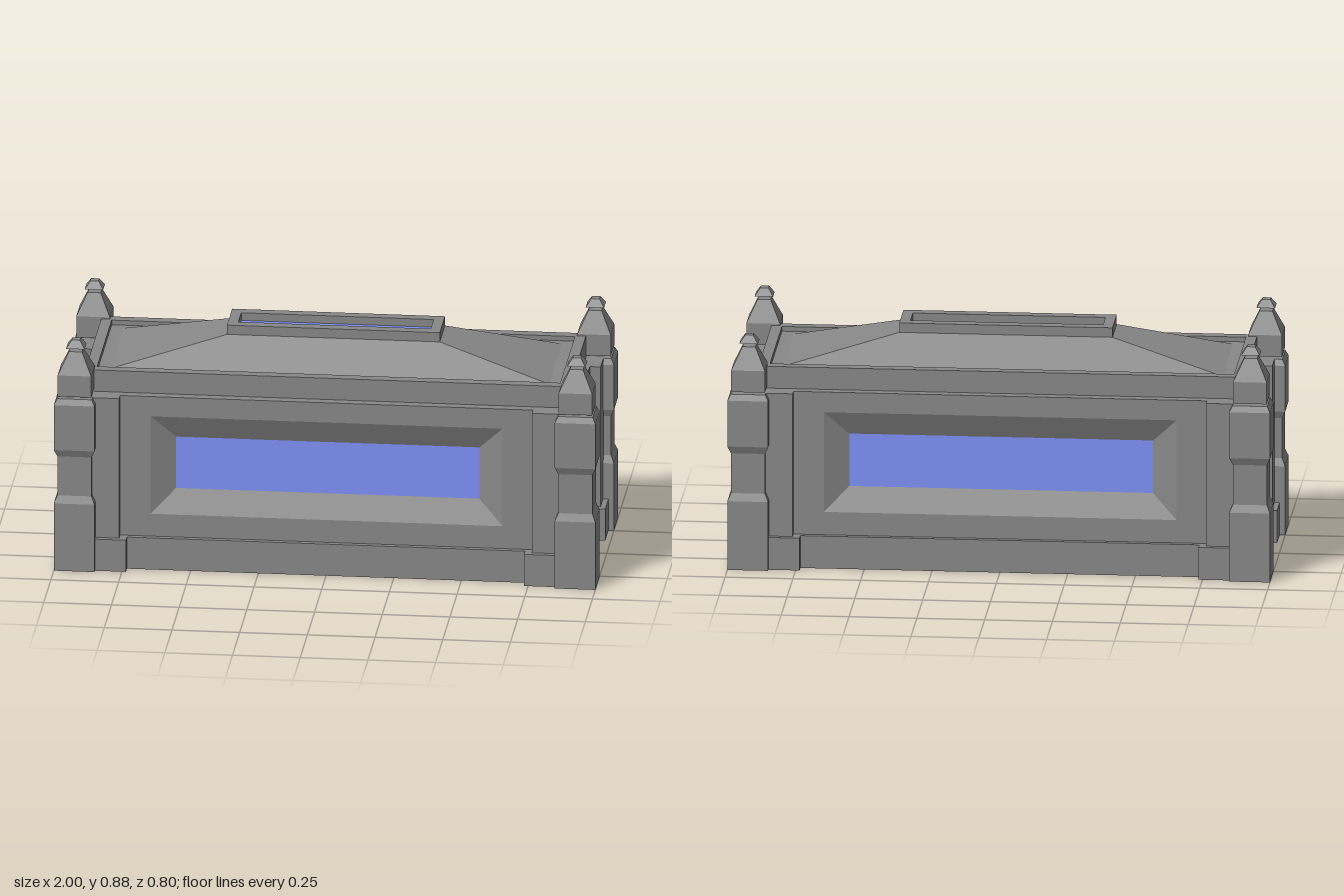
import * as THREE from 'three';

const grey = new THREE.MeshStandardMaterial({ color: 0x888888, flatShading: true, side: THREE.DoubleSide });
const blue = new THREE.MeshStandardMaterial({ color: 0x7f91f7, side: THREE.DoubleSide });

// Shell through stacked plan sections: levels = [[y, [[x, z], ...]], ...]
function loft(levels, closed, cap) {
  const n = levels[0][1].length, pos = [], idx = [];
  for (const [y, section] of levels) for (const [x, z] of section) pos.push(x, y, z);
  for (let i = 0; i < levels.length - 1; i++) {
    for (let j = 0; j < (closed ? n : n - 1); j++) {
      const p = i * n + j, q = i * n + (j + 1) % n;
      idx.push(p, q, q + n, p, q + n, p + n);
    }
  }
  const t = (levels.length - 1) * n;
  if (cap) idx.push(t, t + 1, t + 2, t, t + 2, t + 3);
  const g = new THREE.BufferGeometry();
  g.setAttribute('position', new THREE.Float32BufferAttribute(pos, 3));
  g.setIndex(idx);
  const flat = g.toNonIndexed();
  flat.computeVertexNormals();
  return flat;
}

// Shell through rectangles [halfX, halfZ, y]
const rectLoft = (rects, cap) =>
  loft(rects.map(([a, b, y]) => [y, [[-a, b], [a, b], [a, -b], [-a, -b]]]), true, cap);

// Mirrors one quarter of a plan outline into the full closed loop
function mirrorOutline(quarter) {
  const back = [...quarter].reverse();
  return [
    ...quarter,
    ...back.map(([x, z]) => [x, -z]),
    ...quarter.map(([x, z]) => [-x, -z]),
    ...back.map(([x, z]) => [-x, z]),
  ].map(([x, z]) => new THREE.Vector2(x, z));
}

const rect = (x, z) => mirrorOutline([[x, z]]);

function holed(outer, inner) {
  const s = new THREE.Shape(outer);
  s.holes.push(new THREE.Path(inner));
  return s;
}

// Upright and flat rings with a plan outline and a hole
const ring = (outer, inner, y, height) =>
  new THREE.ExtrudeGeometry(holed(outer, inner), { depth: height, bevelEnabled: false })
    .rotateX(-Math.PI / 2).translate(0, y, 0);
const flatRing = (outer, inner, y) =>
  new THREE.ShapeGeometry(holed(outer, inner)).rotateX(-Math.PI / 2).translate(0, y, 0);

// Plan of one corner: pilaster, post of half width h, pilaster
const POST_X = 0.925, POST_Z = 0.325;
const cornerPlan = (h) => [
  [0.762, 0.33], [0.762, 0.365], [POST_X - h, 0.365], [POST_X - h, POST_Z + h],
  [POST_X + h, POST_Z + h], [POST_X + h, POST_Z - h], [0.96, POST_Z - h], [0.96, 0.165], [0.92, 0.165],
];

export function createModel() {
  const root = new THREE.Group();
  const add = (name, geo, mat = grey, parent = root) => {
    const m = new THREE.Mesh(geo, mat);
    m.name = name;
    parent.add(m);
    return m;
  };

  // Stepped hollow plinth, open underneath
  const plinthPlan = mirrorOutline([
    [0.735, 0.35], [0.735, 0.385], [0.85, 0.385], [0.85, 0.4],
    [1, 0.4], [1, 0.25], [0.98, 0.25], [0.98, 0.14], [0.945, 0.14],
  ]);
  add('plinth', ring(plinthPlan, mirrorOutline(cornerPlan(0.055)), 0, 0.123));

  // Long walls with a splayed recess and window
  for (const side of [1, -1]) {
    const wall = new THREE.Group();
    wall.name = side > 0 ? 'frontWall' : 'backWall';
    wall.rotation.y = side > 0 ? 0 : Math.PI;
    wall.position.set(0, 0.395, side * 0.33);
    root.add(wall);
    const opening = rect(0.65, 0.19).map((p) => new THREE.Vector2(p.x, p.y + 0.005));
    add('wallPanel', new THREE.ShapeGeometry(holed(rect(0.762, 0.272), opening)), grey, wall);
    add('windowRecess', rectLoft([[0.56, 0.1, -0.04], [0.65, 0.19, 0]], false)
      .rotateX(Math.PI / 2).translate(0, 0.005, 0), grey, wall);
    add('window', new THREE.PlaneGeometry(1.12, 0.2).translate(0, 0.005, -0.04), blue, wall);
  }

  // Plain end walls
  for (const side of [1, -1]) {
    add('endWall', new THREE.PlaneGeometry(0.33, 0.544)
      .rotateY(side * Math.PI / 2).translate(side * 0.92, 0.395, 0));
  }

  // Corners: waisted post shaft between two pilasters, then post cap and finial
  const shaft = [[0.075, 0.123], [0.075, 0.262], [0.063, 0.29], [0.063, 0.442],
    [0.075, 0.47], [0.075, 0.645], [0.064, 0.667]];
  const corner = loft(shaft.map(([h, y]) => [y, cornerPlan(h)]), false, false);
  const cap = rectLoft([[0.062, 0.062, 0.675], [0.062, 0.062, 0.757], [0.024, 0.024, 0.838]], true);
  const finial = rectLoft([[0.034, 0.034, 0.852], [0.015, 0.015, 0.88]], true);
  for (const sx of [1, -1]) {
    for (const sz of [1, -1]) {
      add('cornerPostAndPilasters', corner).scale.set(sx, 1, sz);
      add('postCap', cap).position.set(sx * POST_X, 0, sz * POST_Z);
      add('finial', finial).position.set(sx * POST_X, 0, sz * POST_Z);
    }
  }

  // Ledge on top of the walls, cornice, and the sunken gutter around the roof
  add('wallLedge', flatRing(mirrorOutline(cornerPlan(0.064)), rect(0.855, 0.254), 0.667));
  add('cornice', ring(rect(0.895, 0.294), rect(0.855, 0.254), 0.667, 0.083));
  add('gutter', flatRing(rect(0.855, 0.254), rect(0.81, 0.222), 0.732));

  // Hipped roof with a framed skylight
  add('roof', rectLoft([[0.81, 0.222, 0.732], [0.393, 0.09, 0.834]], false));
  add('skylightFrame', ring(rect(0.393, 0.09), rect(0.355, 0.05), 0.834, 0.036));
  add('skylight', new THREE.PlaneGeometry(0.71, 0.1).rotateX(-Math.PI / 2).translate(0, 0.84, 0), blue);

  return root;
}
